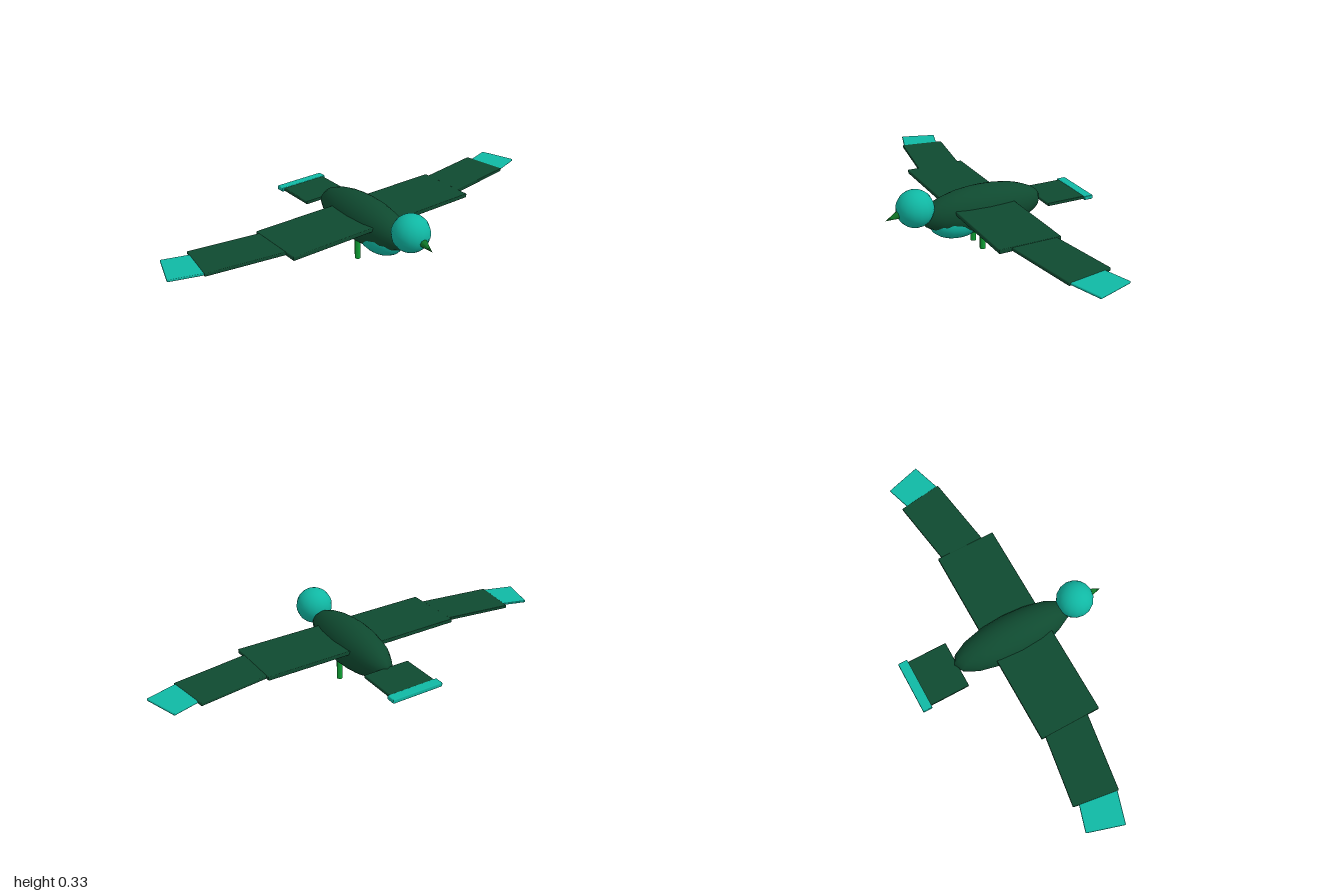
import * as THREE from 'three';
import { RoundedBoxGeometry } from 'three/addons/geometries/RoundedBoxGeometry.js';

function makeMaterial(name, color) {
  const m = new THREE.MeshStandardMaterial({ color });
  m.name = name;
  return m;
}

export function createModel() {
  const bird = new THREE.Group();
  bird.name = 'bird';

  const darkGreen = makeMaterial('darkGreen', 0x0f4a30);
  const teal = makeMaterial('teal', 0x10b8a4);
  const legGreen = makeMaterial('legGreen', 0x10a436);
  const beakGreen = makeMaterial('beakGreen', 0x0f7a28);

  function add(name, geometry, material, position, parent = bird) {
    const mesh = new THREE.Mesh(geometry, material);
    mesh.name = name;
    mesh.position.set(...position);
    parent.add(mesh);
    return mesh;
  }
  const ellipsoid = (rx, ry, rz) => new THREE.SphereGeometry(1, 16, 16).scale(rx, ry, rz);
  const slab = (w, h, d) => new RoundedBoxGeometry(w, h, d, 1, 0.004);

  // Body, breast patch and head
  add('body', ellipsoid(0.105, 0.113, 0.307), darkGreen, [0, 0.189, 0.026]);
  add('breast', ellipsoid(0.087, 0.08, 0.135), teal, [0, 0.148, 0.155]);
  add('head', ellipsoid(0.088, 0.088, 0.088), teal, [0, 0.249, 0.36]);

  // Beak, dipping slightly forward
  const beakBase = new THREE.Vector3(0, 0.241, 0.42);
  const beakTip = new THREE.Vector3(0, 0.215, 0.502);
  const beakAxis = beakTip.clone().sub(beakBase);
  const beak = add('beak', new THREE.ConeGeometry(0.026, beakAxis.length(), 8), beakGreen,
    beakBase.clone().add(beakTip).multiplyScalar(0.5).toArray());
  beak.quaternion.setFromUnitVectors(new THREE.Vector3(0, 1, 0), beakAxis.normalize());

  // Wings and legs, mirrored left and right
  for (const [side, s] of [['left', 1], ['right', -1]]) {
    const wing = new THREE.Group();
    wing.name = side + 'Wing';
    bird.add(wing);
    add(side + 'InnerWing', slab(0.45, 0.02, 0.296), darkGreen, [s * 0.278, 0.22, 0.046], wing);
    const outer = add(side + 'OuterWing', slab(0.4, 0.016, 0.215), darkGreen,
      [s * 0.647, 0.22, 0.004], wing);
    outer.rotation.y = s * 0.15;
    const tip = add(side + 'WingTip', slab(0.16, 0.011, 0.178), teal,
      [s * 0.9, 0.22, -0.032], wing);
    tip.rotation.y = s * 0.3;

    add(side + 'Leg', new THREE.CylinderGeometry(0.014, 0.014, 0.12, 8), legGreen,
      [s * 0.05, 0.063, 0.047]);
  }

  // Tail with a pale band at its end
  add('tail', slab(0.236, 0.016, 0.21), darkGreen, [0, 0.189, -0.37]);
  add('tailBand', slab(0.26, 0.02, 0.046), teal, [0, 0.189, -0.482]);

  return bird;
}
